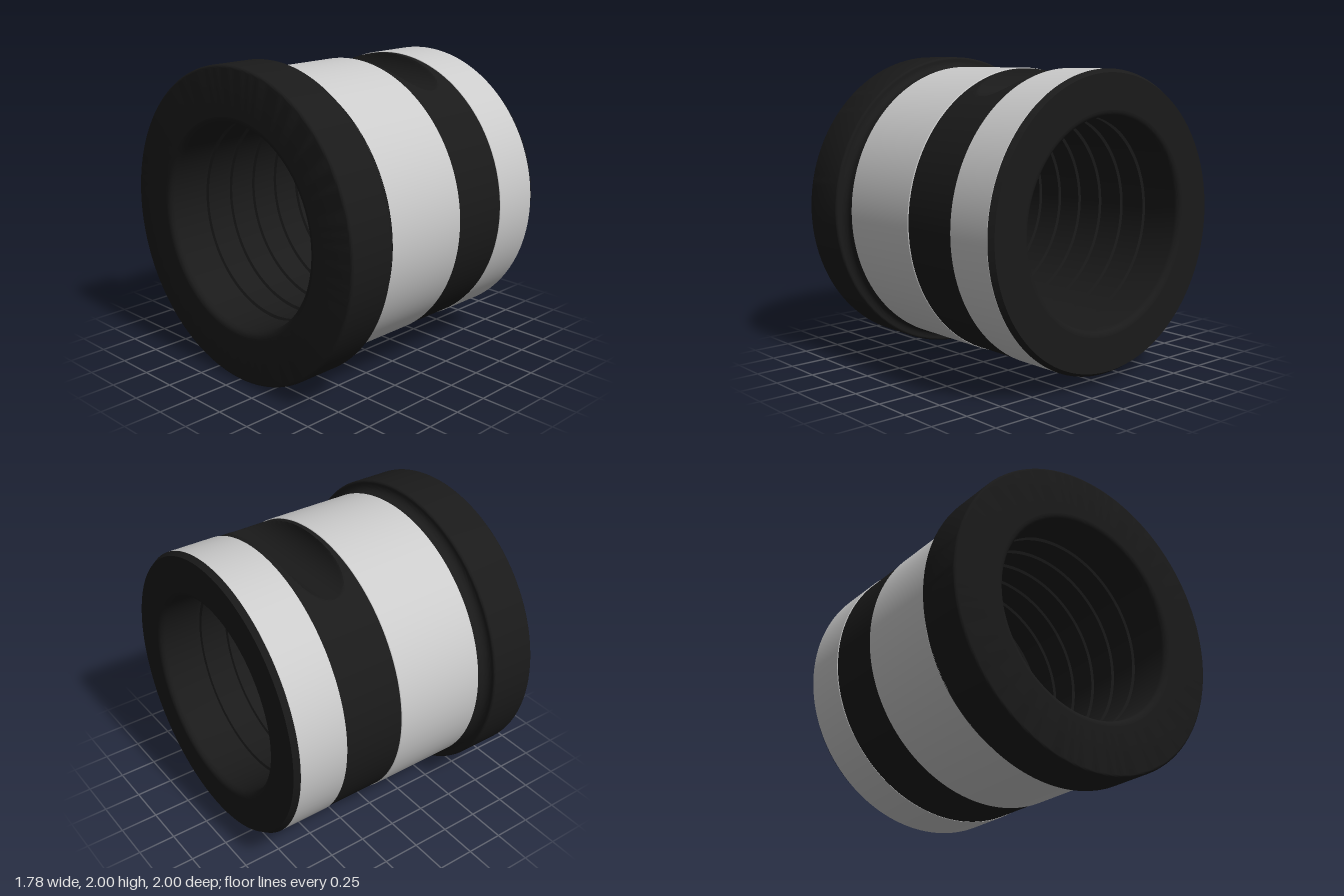
import * as THREE from 'three';
import { toCreasedNormals } from 'three/addons/utils/BufferGeometryUtils.js';

const black = new THREE.MeshStandardMaterial({ color: 0x1a1a1a });
const grey = new THREE.MeshStandardMaterial({ color: 0xcccccc });

// Turn a profile of [x, radius] points around the x axis, raised to y = 1.
function turned(name, profile, material, segments = 160, deform = null) {
  const points = profile.map(([x, r]) => new THREE.Vector2(r, x));
  const geo = new THREE.LatheGeometry(points, segments);
  geo.rotateZ(-Math.PI / 2);
  if (deform) deform(geo.attributes.position);
  const mesh = new THREE.Mesh(toCreasedNormals(geo, 0.5), material);
  mesh.name = name;
  mesh.position.y = 1;
  return mesh;
}

// Points of an arc in the [x, radius] plane.
function arc(cx, cr, radius, from, to, steps) {
  return Array.from({ length: steps + 1 }, (_, i) => {
    const a = from + ((to - from) * i) / steps;
    return [cx + radius * Math.cos(a), cr + radius * Math.sin(a)];
  });
}

export function createModel() {
  const group = new THREE.Group();
  group.name = 'bushing';
  const PI = Math.PI;
  const bore = 0.65, outer = 0.934, bandR = 0.929, mouth = 0.69;

  // Flange with rounded rims and a concave fillet down to the sleeve
  group.add(turned('flange', [
    [-0.89, mouth],
    ...arc(-0.87, 0.98, 0.02, PI, PI / 2, 5),
    ...arc(-0.585, 0.985, 0.015, PI / 2, 0, 4),
    ...arc(-0.525, 0.975, 0.045, PI, 1.5 * PI, 8),
    [-0.495, 0.93], [-0.495, outer],
  ], black));

  // Bright outer sleeve, in two lengths either side of the dark band
  const sleeve = (name, a, b) => group.add(turned(name, [
    [a, bandR], [a, outer - 0.003], [a + 0.004, outer],
    [b - 0.004, outer], [b, outer - 0.003], [b, bandR],
  ], grey));
  sleeve('longSleeve', -0.495, 0.12);
  sleeve('shortSleeve', 0.525, 0.855);

  // Dark band, with a round notch milled straight across its top
  const notchX = 0.32, notchY = 0.94, notchR = 0.172;
  const floor = arc(notchX, 0, notchR, PI, 0, 32).map(([x]) => [x, bandR]);
  const mill = (pos) => {
    for (let i = 0; i < pos.count; i++) {
      const d = Math.abs(pos.getX(i) - notchX);
      if (d > notchR + 1e-4) continue;
      const depth = Math.sqrt(Math.max(0, notchR * notchR - d * d));
      pos.setY(i, Math.min(pos.getY(i), notchY - depth));
    }
  };
  group.add(turned('notchedBand', [
    [0.12, bandR], ...floor, [0.525, bandR],
  ], black, 400, mill));

  // Chamfered end face
  group.add(turned('endFace', [
    [0.855, outer], [0.89, 0.912], [0.89, mouth],
  ], black));

  // Bore with rounded mouths and shallow ring grooves
  const inside = [...arc(0.85, mouth, 0.04, 0, -PI / 2, 6)];
  for (let i = 3; i >= -3; i--) {
    const x = i * 0.2;
    inside.push([x + 0.02, bore], [x + 0.015, bore + 0.02],
      [x - 0.015, bore + 0.02], [x - 0.02, bore]);
  }
  inside.push(...arc(-0.85, mouth, 0.04, -PI / 2, -PI, 6));
  group.add(turned('groovedBore', inside, black));

  return group;
}
